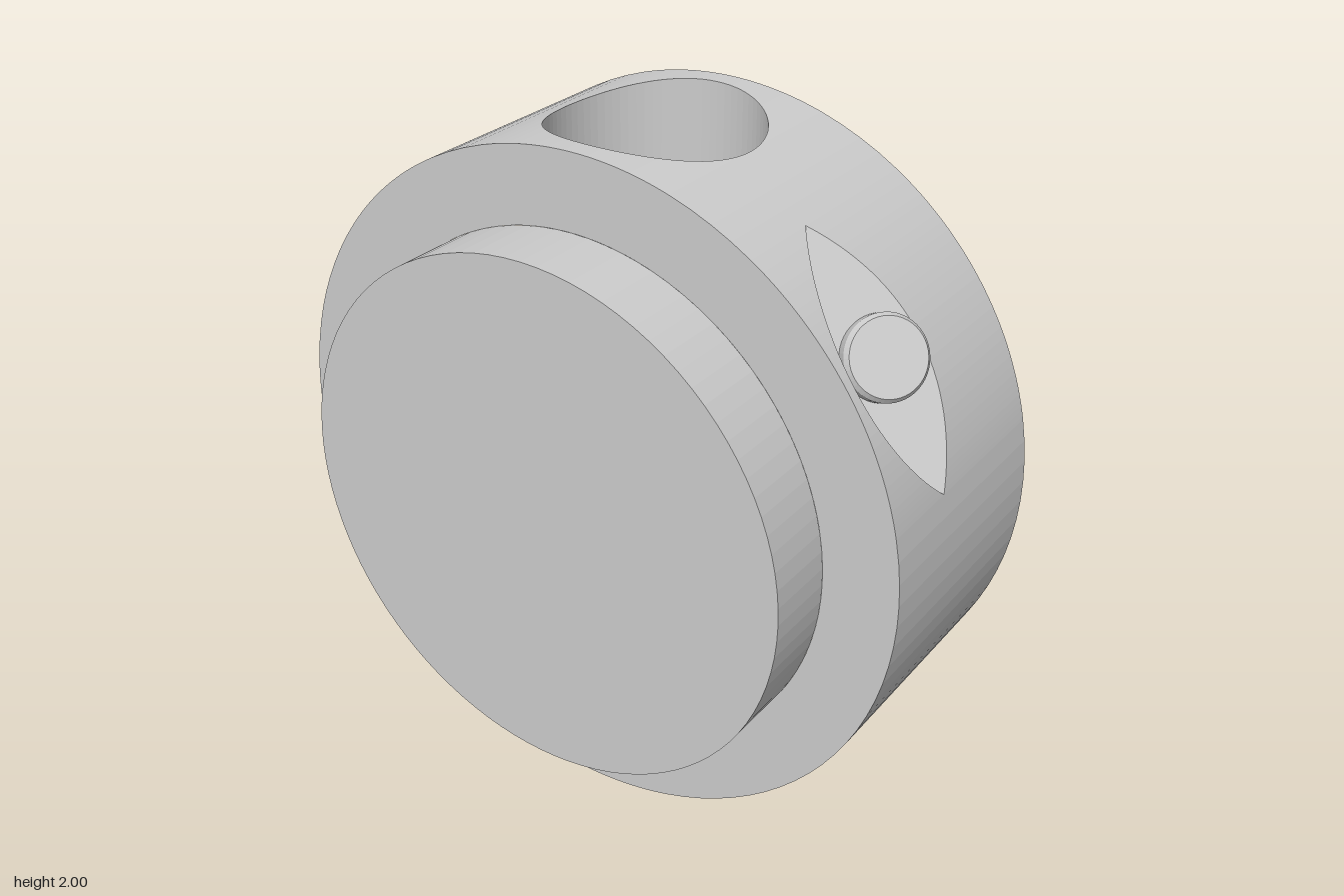
import * as THREE from 'three';
import { mergeGeometries } from 'three/addons/utils/BufferGeometryUtils.js';

const W = 0.365, BOSS_R = 0.78, BOSS_Z = 0.58;
const V = (x, y, z) => new THREE.Vector3(x, y, z);
const rad = THREE.MathUtils.degToRad;
const root = (s) => Math.sqrt(Math.max(0, s));
const onBand = (t, z) => V(Math.cos(t), 1 + Math.sin(t), z);

// Ribbon of quads between two equally long rows of points
function ribbon(a, b) {
  const pos = [], idx = [];
  a.forEach((p, i) => {
    pos.push(...p.toArray(), ...b[i].toArray());
    if (i) idx.push(2 * i - 2, 2 * i, 2 * i + 1, 2 * i - 2, 2 * i + 1, 2 * i - 1);
  });
  const g = new THREE.BufferGeometry();
  g.setAttribute('position', new THREE.Float32BufferAttribute(pos, 3));
  g.setIndex(idx);
  const flat = g.toNonIndexed();
  flat.computeVertexNormals();
  return flat;
}

// Tilted pocket: its floor leans towards +z about a chord of the band
const TILT = rad(35), MID = rad(35), CHORD = 0.923, CHORD_Z = 0.11;
const SAG = 0.14, HALF = root(1 - CHORD * CHORD);
const ARC_R = (HALF * HALF + SAG * SAG) / (2 * SAG);
const radial = V(Math.cos(MID), Math.sin(MID), 0);
const floorNormal = radial.clone().multiplyScalar(Math.cos(TILT)).add(V(0, 0, Math.sin(TILT)));
const floorPoint = radial.clone().multiplyScalar(CHORD).add(V(0, 1, CHORD_Z));
const chordAngle = Math.acos(CHORD);

const bore = (name, centre) => ({
  name, from: centre - Math.asin(0.3), to: centre + Math.asin(0.3), floor: false,
  span: (t) => { const h = root(0.09 - Math.cos(t) ** 2); return [-h, h]; },
  drop: (p) => V(p.x, 1, p.z),
});

// Each opening gives its z-span at every angle round the band and how its edge drops to the floor
const openings = [
  {
    name: 'tiltedPocket', from: MID - chordAngle, to: MID + chordAngle, floor: true,
    span: (t) => {
      const d = Math.cos(t - MID) - CHORD, u = Math.sin(t - MID);
      const arc = root(ARC_R * ARC_R - u * u) - (ARC_R - SAG);
      return [CHORD_Z - d / Math.tan(TILT), CHORD_Z + (arc + d * Math.sin(TILT)) / Math.cos(TILT)];
    },
    drop: (p) => p.clone().addScaledVector(floorNormal, -p.clone().sub(floorPoint).dot(floorNormal)),
  },
  bore('upperBore', Math.PI / 2),
  {
    name: 'flatPocket', from: Math.acos(-0.47), to: Math.acos(-0.79), floor: true,
    span: (t) => {
      const h = root(0.0576 - Math.max(0, Math.cos(t) + 0.71) ** 2);
      return [-0.1 - h, -0.1 + h];
    },
    drop: (p) => V(p.x, 1 + root(1 - 0.79 * 0.79), p.z),
  },
  {
    name: 'sideRecess', from: Math.PI - Math.asin(0.2), to: Math.PI + Math.asin(0.2), floor: true,
    span: (t) => { const h = root(0.04 - Math.sin(t) ** 2); return [-h, h]; },
    drop: (p) => V(-0.92, p.y, p.z),
  },
  bore('lowerBore', Math.PI * 1.5),
];

// Screw head standing on a floor, pointing along a direction
function screw(name, r, h, base, dir, material) {
  const profile = [[r, 0], [r, h * 0.7], [r - 0.01, h], [0, h]].map(([x, y]) => new THREE.Vector2(x, y));
  const m = new THREE.Mesh(new THREE.LatheGeometry(profile, 48), material);
  m.name = name;
  m.position.copy(base);
  m.quaternion.setFromUnitVectors(V(0, 1, 0), dir);
  return m;
}

export function createModel() {
  const group = new THREE.Group();
  const material = new THREE.MeshStandardMaterial({ color: 0xcccccc, flatShading: true });
  const add = (name, geometry) => {
    const m = new THREE.Mesh(geometry, material);
    m.name = name;
    group.add(m);
    return m;
  };

  // Band surface, opening walls and floors
  const band = [], angles = [];
  openings.forEach((o, k) => {
    const n = 40, ts = [];
    for (let i = 0; i <= n; i++) {
      ts.push(o.from + (o.to - o.from) * (1 - Math.cos(Math.PI * i / n)) / 2);
    }
    const lo = ts.map((t) => onBand(t, o.span(t)[0]));
    const hi = ts.map((t) => onBand(t, o.span(t)[1]));
    const back = ts.map((t) => onBand(t, -W)), front = ts.map((t) => onBand(t, W));
    band.push(ribbon(back, lo), ribbon(hi, front));

    const loFloor = lo.map(o.drop), hiFloor = hi.map(o.drop);
    const upward = o.name !== 'lowerBore';
    const parts = [ribbon(lo, loFloor), ribbon(hiFloor, hi)];
    if (o.floor && upward) parts.push(ribbon(loFloor, hiFloor));
    add(o.name, mergeGeometries(parts));

    // Plain stretch up to the next opening
    const next = k + 1 < openings.length ? openings[k + 1].from : openings[0].from + Math.PI * 2;
    const steps = Math.max(2, Math.ceil((next - o.to) / rad(3.75)));
    const gap = [];
    for (let i = 0; i <= steps; i++) gap.push(o.to + (next - o.to) * i / steps);
    band.push(ribbon(gap.map((t) => onBand(t, -W)), gap.map((t) => onBand(t, W))));
    angles.push(...ts, ...gap.slice(1, -1));
  });
  angles.push(angles[0] + Math.PI * 2);

  // Ring faces at both sides of the band
  const ring = (r, z) => angles.map((t) => V(r * Math.cos(t), 1 + r * Math.sin(t), z));
  band.push(ribbon(ring(1, W), ring(BOSS_R, W)), ribbon(ring(BOSS_R, -W), ring(1, -W)));
  // Turn the front ring outwards if its winding faces inwards
  add('band', mergeGeometries(band.map((g, i) => (i >= band.length - 2 ? faceOut(g) : g))));

  // Round bosses front and back
  for (const s of [1, -1]) {
    const boss = add(s > 0 ? 'frontBoss' : 'backBoss',
      new THREE.CylinderGeometry(BOSS_R, BOSS_R, BOSS_Z - W, 96).rotateX(Math.PI / 2));
    boss.position.set(0, 1, s * (BOSS_Z + W) / 2);
  }

  // Screw heads
  const slope = radial.clone().multiplyScalar(-Math.sin(TILT)).add(V(0, 0, Math.cos(TILT)));
  group.add(
    screw('flatPocketScrew', 0.118, 0.055, V(-0.66, 1 + root(1 - 0.79 * 0.79), -0.1), V(0, 1, 0), material),
    screw('tiltedPocketScrew', 0.115, 0.05, floorPoint.clone().addScaledVector(slope, -0.02), floorNormal, material),
    screw('sideScrew', 0.172, 0.035, V(-0.92, 1, 0), V(-1, 0, 0), material),
  );
  return group;
}

// Makes a flat ring face away from the middle of the band
function faceOut(g) {
  const p = g.attributes.position, n = g.attributes.normal;
  if (n.getZ(0) * p.getZ(0) > 0) return g;
  for (let i = 0; i < p.count; i += 3) {
    const a = V().fromBufferAttribute(p, i + 1), b = V().fromBufferAttribute(p, i + 2);
    p.setXYZ(i + 1, b.x, b.y, b.z);
    p.setXYZ(i + 2, a.x, a.y, a.z);
  }
  g.computeVertexNormals();
  return g;
}
